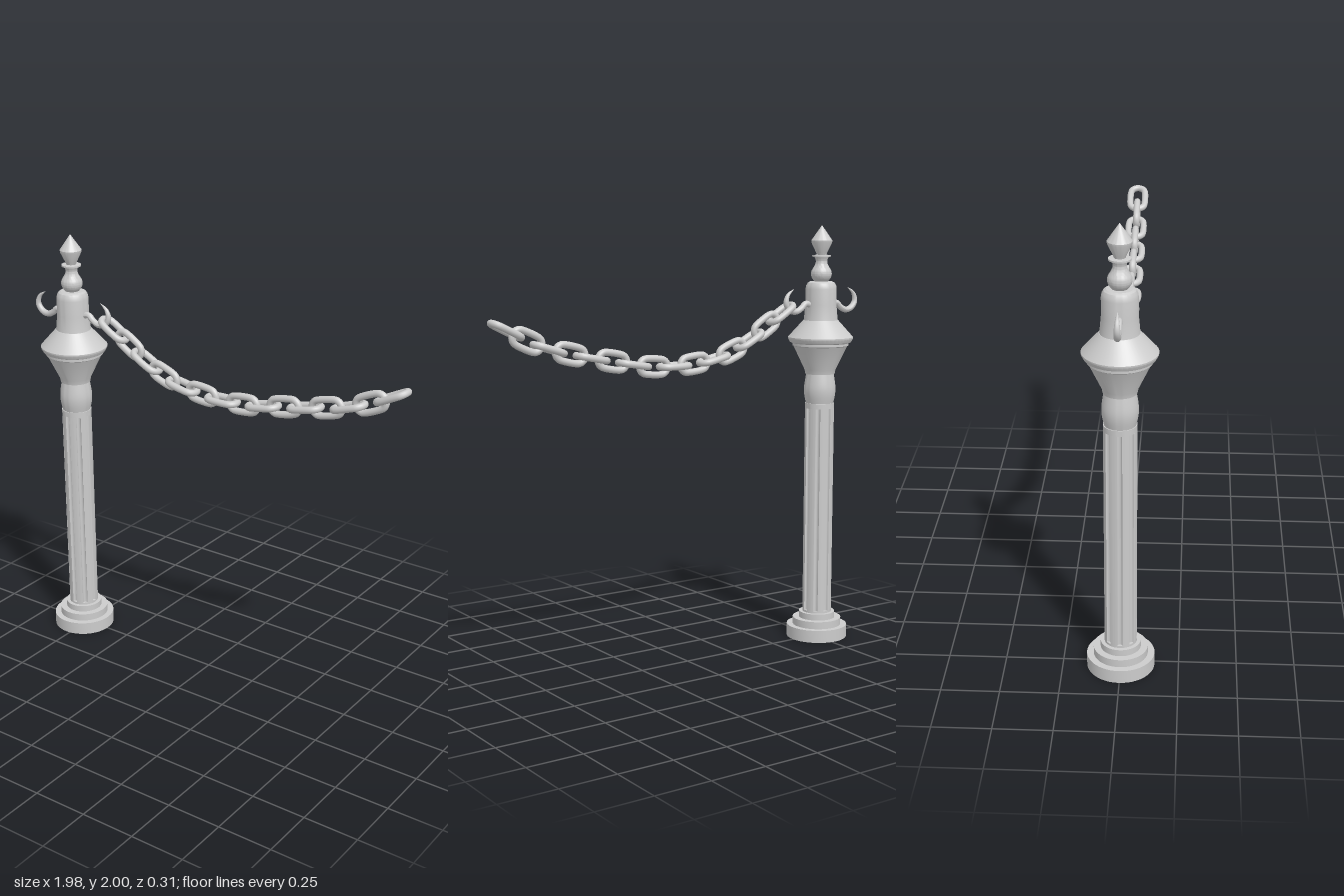
import * as THREE from 'three';
import { toCreasedNormals } from 'three/addons/utils/BufferGeometryUtils.js';

const material = new THREE.MeshStandardMaterial({ color: 0xcccccc, side: THREE.DoubleSide });
const POST_X = -0.77;

function add(parent, name, geometry) {
  const mesh = new THREE.Mesh(geometry, material);
  mesh.name = name;
  parent.add(mesh);
  return mesh;
}

// Turned part from [radius, height] pairs, sharp where the profile bends hard
function turned(profile) {
  const points = profile.map(([r, y]) => new THREE.Vector2(r, y));
  return toCreasedNormals(new THREE.LatheGeometry(points, 48), 0.5);
}

// Smooth silhouette through a few [radius, height] points
function smooth(points, n = 12) {
  const curve = new THREE.SplineCurve(points.map(([r, y]) => new THREE.Vector2(r, y)));
  return curve.getPoints(n).map((p) => [p.x, p.y]);
}

// Shaft cross-section with round flutes cut into the rim
function flutedShaft(radius, flutes, fluteRadius, y0, y1) {
  const shape = new THREE.Shape();
  const half = 2 * Math.asin(fluteRadius / (2 * radius));
  const step = (Math.PI * 2) / flutes;
  for (let i = 0; i < flutes; i++) {
    const a = i * step;
    const cx = radius * Math.cos(a), cy = radius * Math.sin(a);
    for (let k = 0; k <= 8; k++) {
      const t = a - Math.PI / 2 - half / 2 - (k / 8) * (Math.PI - half);
      const x = cx + fluteRadius * Math.cos(t), y = cy + fluteRadius * Math.sin(t);
      if (i === 0 && k === 0) shape.moveTo(x, y);
      else shape.lineTo(x, y);
    }
    for (let k = 1; k < 6; k++) {
      const t = a + half + (k / 6) * (step - 2 * half);
      shape.lineTo(radius * Math.cos(t), radius * Math.sin(t));
    }
  }
  const geometry = new THREE.ExtrudeGeometry(shape, { depth: y1 - y0, bevelEnabled: false });
  geometry.rotateX(-Math.PI / 2).translate(0, y0, 0);
  return toCreasedNormals(geometry, 0.5);
}

// Hook: a tube that narrows to a point at its free end
function hookGeometry() {
  const points = [[0.06, 1.625], [0.095, 1.632], [0.118, 1.612], [0.15, 1.597], [0.185, 1.604],
    [0.21, 1.637], [0.2, 1.675], [0.165, 1.703]];
  const curve = new THREE.CatmullRomCurve3(points.map(([x, y]) => new THREE.Vector3(x, y, 0)));
  const rings = 40, sides = 12;
  const geometry = new THREE.TubeGeometry(curve, rings, 0.0145, sides);
  const position = geometry.attributes.position;
  const v = new THREE.Vector3();
  for (let i = 0; i < position.count; i++) {
    const t = Math.floor(i / (sides + 1)) / rings;
    const centre = curve.getPointAt(t);
    const scale = t < 0.55 ? 1 : 1 - 0.97 * ((t - 0.55) / 0.45) ** 2;
    v.fromBufferAttribute(position, i).sub(centre).multiplyScalar(scale).add(centre);
    position.setXYZ(i, v.x, v.y, v.z);
  }
  geometry.computeVertexNormals();
  return geometry;
}

// Chain link: stadium-shaped loop lying in the xy plane
function linkGeometry(length, width, wire) {
  const r = width / 2 - wire, s = length / 2 - wire - r;
  const points = [];
  for (const side of [1, -1]) {
    for (let k = 0; k <= 6; k++) {
      const a = -Math.PI / 2 + (k / 6) * Math.PI;
      points.push(new THREE.Vector3(side * (s + r * Math.cos(a)), side * r * Math.sin(a), 0));
    }
  }
  const curve = new THREE.CatmullRomCurve3(points, true);
  return new THREE.TubeGeometry(curve, 56, wire, 12, true);
}

export function createModel() {
  const model = new THREE.Group();
  model.name = 'chainPost';
  const post = new THREE.Group();
  post.name = 'post';
  post.position.x = POST_X;
  model.add(post);

  // Stepped round base
  add(post, 'base', turned([[0, 0], [0.146, 0], [0.146, 0.06], [0.117, 0.06], [0.117, 0.095],
    [0.087, 0.095], [0.087, 0.125], [0, 0.125]]));

  // Fluted shaft with plain ends
  add(post, 'shaft', flutedShaft(0.07, 8, 0.0115, 0.135, 1.13));
  add(post, 'shaftFoot', turned([[0.07, 0.12], [0.07, 0.135], [0, 0.135]]));
  add(post, 'shaftTop', turned([[0, 1.13], [0.07, 1.13], [0.07, 1.155], [0, 1.155]]));

  // Bulging neck
  add(post, 'neck', turned([[0, 1.155],
    ...smooth([[0.066, 1.155], [0.074, 1.195], [0.075, 1.235], [0.066, 1.295]]), [0, 1.295]]));

  // Flared head with lip
  add(post, 'head', turned([[0, 1.295], [0.07, 1.295], [0.074, 1.315], [0.128, 1.428],
    [0.134, 1.432], [0.134, 1.443], [0.146, 1.448], [0.155, 1.465], [0.155, 1.472],
    [0.083, 1.552], [0, 1.555]]));

  // Rounded cap that carries the hooks
  add(post, 'cap', turned([[0.082, 1.548], [0.08, 1.56], [0.074, 1.625], [0.074, 1.7],
    [0.071, 1.717], [0.064, 1.729], [0.054, 1.735], [0, 1.737]]));

  // Finial: vase, ring and spear point
  add(post, 'finialVase', turned([
    ...smooth([[0.032, 1.735], [0.047, 1.757], [0.048, 1.782], [0.033, 1.81], [0.027, 1.83], [0.033, 1.85]], 24),
    [0.045, 1.852], [0.045, 1.859], [0.024, 1.861], [0, 1.861]]));
  add(post, 'finialPoint', turned([[0.022, 1.858], [0.026, 1.87], [0.049, 1.918], [0.05, 1.928], [0, 2]]));

  // Hooks on both sides
  const hook = hookGeometry();
  add(post, 'leftHook', hook);
  add(post, 'rightHook', hook).rotation.y = Math.PI;

  // Chain: links alternate between lying flat and standing upright
  const chain = new THREE.Group();
  chain.name = 'chain';
  model.add(chain);
  const centres = [[-0.528, 1.592], [-0.44, 1.537], [-0.343, 1.477], [-0.245, 1.43], [-0.143, 1.4],
    [-0.035, 1.385], [0.073, 1.38], [0.183, 1.384], [0.287, 1.399], [0.395, 1.42],
    [0.5, 1.439], [0.605, 1.462], [0.71, 1.489], [0.812, 1.528], [0.909, 1.576]];
  const link = linkGeometry(0.178, 0.1, 0.0155);
  centres.forEach(([x, y], i) => {
    const a = centres[Math.max(i - 1, 0)], b = centres[Math.min(i + 1, centres.length - 1)];
    const mesh = add(chain, 'chainLink' + (i + 1), link);
    mesh.position.set(x, y, 0);
    mesh.rotation.order = 'ZYX';
    mesh.rotation.z = Math.atan2(b[1] - a[1], b[0] - a[0]);
    mesh.rotation.x = i % 2 === 0 ? Math.PI / 2 : 0;
  });

  return model;
}
